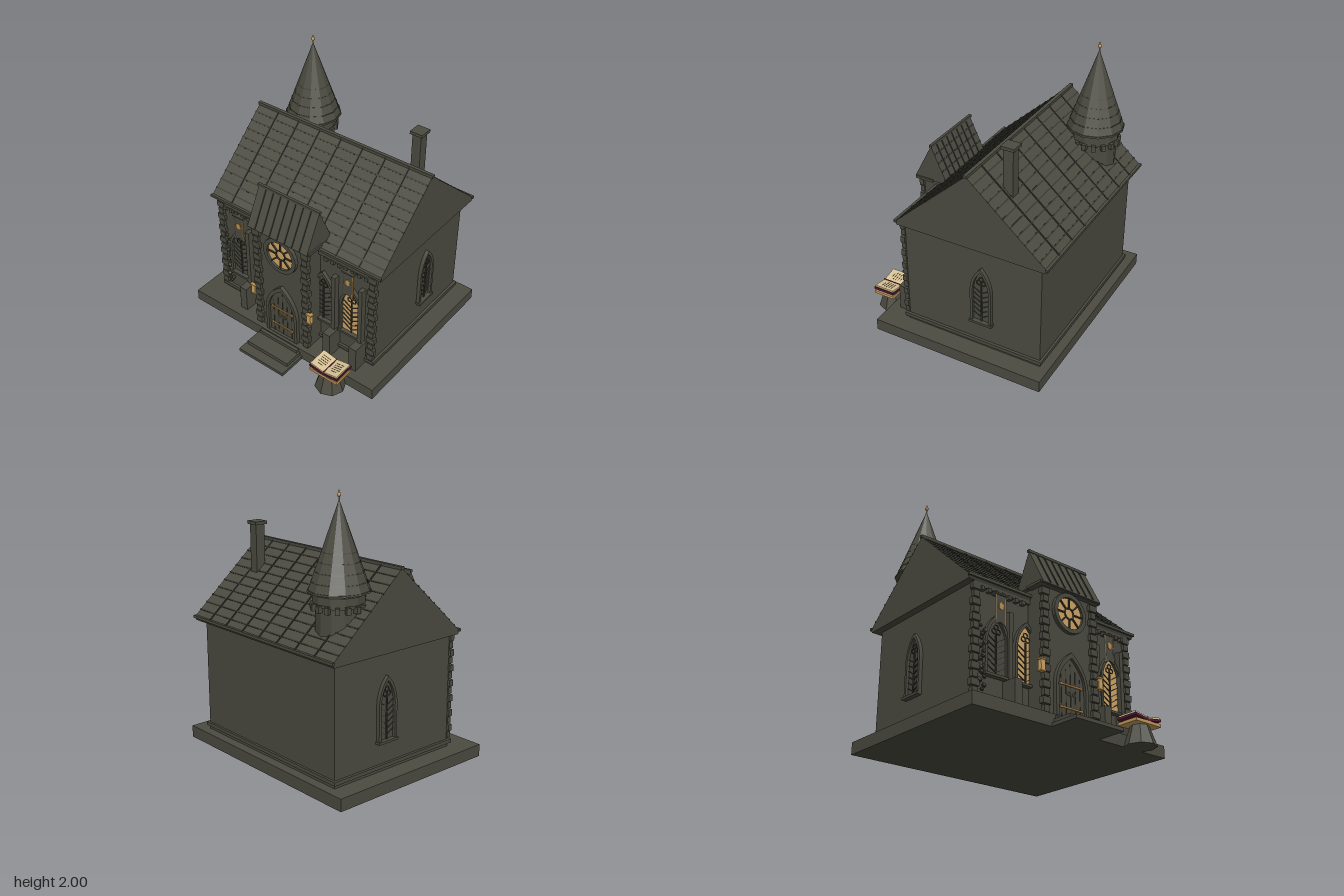
import * as THREE from 'three';

const mat = (name, color) => {
  const m = new THREE.MeshStandardMaterial({ color });
  m.name = name;
  return m;
};

export function createModel() {
  const stone = mat('stone', 0x4b4b41), lead = mat('dark lead', 0x383831), gold = mat('brass', 0xc0904c),
    glow = mat('lit glass', 0xd2a766), page = mat('paper', 0xdcc698), cover = mat('maroon leather', 0x551c33),
    wood = mat('light wood', 0xc79c5e), ink = mat('ink', 0x5a4a38);
  const model = new THREE.Group();
  model.name = 'chapel';

  const group = (name, parent = model) => {
    const g = new THREE.Group();
    g.name = name;
    parent.add(g);
    return g;
  };
  const add = (name, geo, m, x = 0, y = 0, z = 0, parent = model) => {
    const mesh = new THREE.Mesh(geo, m);
    mesh.name = name;
    mesh.position.set(x, y, z);
    parent.add(mesh);
    return mesh;
  };
  const box = (name, m, w, h, d, x, y, z, parent) => add(name, new THREE.BoxGeometry(w, h, d), m, x, y, z, parent);
  // box given by its limits
  const span = (name, m, x0, x1, y0, y1, z0, z1, parent) =>
    box(name, m, x1 - x0, y1 - y0, z1 - z0, (x0 + x1) / 2, (y0 + y1) / 2, (z0 + z1) / 2, parent);
  // faceted round part
  const cyl = (rt, rb, h, n) => {
    const g = new THREE.CylinderGeometry(rt, rb, h, n).toNonIndexed();
    g.computeVertexNormals();
    return g;
  };
  const extrude = (shape, depth) => new THREE.ExtrudeGeometry(shape, { depth, bevelEnabled: false, curveSegments: 10 });
  // (z, y) profile swept along x
  const prism = (name, m, pts, halfW, parent) => {
    const g = extrude(new THREE.Shape(pts.map(([z, y]) => new THREE.Vector2(-z, y))), halfW * 2);
    return add(name, g.rotateY(Math.PI / 2), m, -halfW, 0, 0, parent);
  };
  // pointed arch outline
  const arch = (w, h, spring, y0 = 0) => {
    const s = new THREE.Shape();
    s.moveTo(-w, y0);
    s.lineTo(w, y0);
    s.lineTo(w, spring);
    s.quadraticCurveTo(w * 0.92, spring + (h - spring) * 0.6, 0, h);
    s.quadraticCurveTo(-w * 0.92, spring + (h - spring) * 0.6, -w, spring);
    return s;
  };
  // seams of the tiles on a roof slope running from eave to ridge, points as [z, y]
  const seams = (parent, eave, ridge, halfW, rows, xs) => {
    const dz = ridge[0] - eave[0], dy = ridge[1] - eave[1], tilt = Math.atan2(-dy, dz);
    for (let i = 1; i < rows; i++) {
      const t = i / rows;
      box('tileCourse', lead, halfW * 2, 0.008, 0.01, 0, eave[1] + dy * t, eave[0] + dz * t, parent).rotation.x = tilt;
    }
    for (const x of xs)
      box('tileSeam', lead, 0.009, 0.012, Math.hypot(dz, dy), x, eave[1] + dy / 2, eave[0] + dz / 2, parent).rotation.x = tilt;
  };

  // base and steps
  span('base', stone, -0.85, 0.85, 0, 0.09, -0.785, 0.56);
  [[0.21, 0.025, 0.785], [0.192, 0.055, 0.71], [0.178, 0.08, 0.585]].forEach(([w, h, z]) =>
    span('step', stone, -w, w, 0, h, 0.5, z));

  // hall walls
  span('walls', stone, -0.71, 0.71, 0.09, 0.945, -0.715, 0.365);
  span('plinth', stone, -0.73, 0.73, 0.118, 0.145, -0.732, 0.385);
  span('cornice', stone, -0.715, 0.715, 0.91, 0.94, 0.36, 0.385);
  for (let x = 0.3; x < 0.66; x += 0.058)
    for (const s of [-1, 1]) box('dentil', stone, 0.028, 0.03, 0.03, s * x, 0.9, 0.38);

  // corner stones of hall and porch
  const quoins = (x, z, y0, n, step) => {
    const g = group('cornerStones');
    for (let i = 0; i < n; i++)
      for (const s of [-1, 1])
        box('cornerStone', stone, i % 2 ? 0.068 : 0.046, step * 0.84, 0.034, s * x, y0 + step * (i + 0.5), z, g);
  };
  quoins(0.695, 0.37, 0.15, 14, 0.056);
  quoins(0.222, 0.515, 0.1, 16, 0.056);

  // main roof
  const roof = group('mainRoof');
  const ridge = [-0.178, 1.49], front = [0.395, 0.965], back = [-0.778, 0.965];
  prism('roofBody', stone, [[0.385, 0.938], front, ridge, back, [-0.765, 0.938]], 0.765, roof);
  const cols = [-0.58, -0.385, -0.19, 0, 0.19, 0.385, 0.58];
  seams(roof, front, ridge, 0.767, 11, cols);
  seams(roof, back, ridge, 0.767, 11, cols);
  box('ridgeCap', stone, 1.545, 0.022, 0.026, 0, 1.49, -0.178, roof);
  for (const z of [0.395, -0.775]) box('eave', stone, 1.545, 0.02, 0.02, 0, 0.967, z, roof);

  // chimney
  const chimney = group('chimney');
  span('stack', stone, 0.485, 0.557, 1.1, 1.64, -0.411, -0.337, chimney);
  span('chimneyCap', stone, 0.471, 0.571, 1.637, 1.66, -0.425, -0.323, chimney);

  // round turret
  const turret = group('turret');
  turret.position.set(-0.515, 0, -0.5);
  add('turretWall', cyl(0.16, 0.16, 0.34, 12), stone, 0, 1.12, 0, turret);
  add('turretRing', cyl(0.178, 0.178, 0.055, 12), stone, 0, 1.308, 0, turret);
  add('turretBand', cyl(0.17, 0.17, 0.02, 12), stone, 0, 1.27, 0, turret);
  for (let i = 0; i < 16; i++) {
    const a = (i / 16) * Math.PI * 2;
    box('corbel', stone, 0.03, 0.045, 0.035, Math.sin(a) * 0.173, 1.252, Math.cos(a) * 0.173, turret).rotation.y = a;
  }
  add('spire', cyl(0.005, 0.21, 0.58, 12), stone, 0, 1.64, 0, turret);
  add('spireEave', cyl(0.212, 0.214, 0.012, 12), stone, 0, 1.356, 0, turret);
  for (let i = 1; i < 7; i++) {
    const y = 1.35 + i * 0.065, r = 0.212 * (1 - i * 0.065 / 0.58);
    add('spireCourse', cyl(r, r + 0.003, 0.007, 12), lead, 0, y, 0, turret);
  }
  add('finialRod', cyl(0.003, 0.006, 0.09, 8), gold, 0, 1.955, 0, turret);
  add('finialBall', new THREE.SphereGeometry(0.014, 12, 8), gold, 0, 1.97, 0, turret);

  // entrance porch
  const porch = group('porch');
  span('porchWall', stone, -0.235, 0.235, 0.09, 1.03, 0.3, 0.508, porch);
  span('porchCornice', stone, -0.28, 0.28, 1.01, 1.03, 0.4, 0.545, porch);
  const pf = [0.555, 1.025], pr = [0.414, 1.3], pb = [0.297, 1.05];
  prism('porchRoof', stone, [pf, pr, pb, [0.297, 1.02], [0.555, 1.015]], 0.268, porch);
  const pcols = [-0.2, -0.133, -0.067, 0, 0.067, 0.133, 0.2];
  seams(porch, pf, pr, 0.268, 1, pcols);
  seams(porch, pb, pr, 0.268, 4, pcols);
  box('porchRidge', stone, 0.55, 0.02, 0.02, 0, 1.302, 0.414, porch);

  // rose window
  const rose = group('roseWindow');
  rose.position.set(0, 0.863, 0.508);
  add('roseGlass', new THREE.CylinderGeometry(0.125, 0.125, 0.008, 32).rotateX(Math.PI / 2), glow, 0, 0, 0.006, rose);
  const rim = new THREE.Shape().absarc(0, 0, 0.148, 0, Math.PI * 2);
  rim.holes.push(new THREE.Path().absarc(0, 0, 0.116, 0, Math.PI * 2));
  add('roseRim', extrude(rim, 0.028), stone, 0, 0, 0, rose);
  add('roseHub', new THREE.TorusGeometry(0.04, 0.006, 6, 24), lead, 0, 0, 0.014, rose);
  for (let i = 0; i < 8; i++) {
    const a = (i / 8) * Math.PI * 2;
    box('spoke', lead, 0.08, 0.01, 0.012, Math.cos(a) * 0.08, Math.sin(a) * 0.08, 0.014, rose).rotation.z = a;
  }

  // arched frame with an opening
  const frame = (w, h, spring, t, depth) => {
    const s = arch(w, h, spring);
    s.holes.push(arch(w - t, h - t * 1.6, spring, 0.004));
    return extrude(s, depth);
  };

  // door
  const door = group('door');
  door.position.set(0, 0.09, 0.508);
  add('doorFrame', frame(0.145, 0.48, 0.24, 0.025, 0.03), stone, 0, 0, 0, door);
  add('doorLeaf', extrude(arch(0.122, 0.44, 0.24), 0.01), stone, 0, 0, 0, door);
  for (let i = -2; i <= 2; i++) {
    const h = 0.4 - Math.abs(i) * 0.045;
    box('plankGap', lead, 0.005, h, 0.006, i * 0.042, h / 2, 0.01, door);
  }
  for (const y of [0.085, 0.245]) {
    box('hingeStrap', gold, 0.19, 0.011, 0.008, 0, y, 0.016, door);
    for (const x of [-0.094, 0.094]) box('strapEnd', gold, 0.014, 0.018, 0.009, x, y, 0.016, door);
  }
  for (const x of [-0.024, 0.024]) add('ringHandle', new THREE.TorusGeometry(0.013, 0.003, 6, 14), gold, x, 0.185, 0.018, door);

  // lancet windows
  const lancet = (x, y, z, w, h, glass, turn = 0) => {
    const g = group('lancetWindow'), sp = h * 0.58;
    g.position.set(x, y, z);
    g.rotation.y = turn;
    add('windowFrame', frame(w, h, sp, 0.02, 0.028), stone, 0, 0, 0, g);
    add('windowGlass', extrude(arch(w - 0.018, h - 0.03, sp), 0.007), glass, 0, 0, 0, g);
    box('sill', stone, w * 2 + 0.012, 0.018, 0.042, 0, 0.005, 0.018, g);
    box('mullion', lead, 0.009, h * 0.68, 0.012, 0, h * 0.34, 0.01, g);
    for (let i = 0; i < 6; i++)
      for (const s of [-1, 1])
        box('leadBar', lead, w * 0.85, 0.006, 0.008, s * w * 0.4, 0.06 + i * 0.042, 0.009, g).rotation.z = s * 0.55;
    for (const [tx, ty] of [[-0.018, 0], [0.018, 0], [0, 0.03]])
      add('trefoil', new THREE.TorusGeometry(0.017, 0.004, 6, 16), lead, tx, h * 0.73 + ty, 0.012, g);
  };
  lancet(-0.522, 0.305, 0.365, 0.1, 0.44, stone);
  lancet(-0.27, 0.305, 0.365, 0.1, 0.46, glow);
  lancet(0.27, 0.305, 0.365, 0.1, 0.46, stone);
  lancet(0.522, 0.305, 0.365, 0.1, 0.44, glow);
  lancet(0.71, 0.305, -0.26, 0.083, 0.465, stone, Math.PI / 2);
  lancet(-0.71, 0.305, -0.26, 0.083, 0.465, stone, -Math.PI / 2);

  // buttresses
  for (const x of [-0.422, 0.38, 0.615]) {
    const g = group('buttress');
    span('buttressFoot', stone, x - 0.032, x + 0.032, 0.09, 0.295, 0.36, 0.487, g);
    span('buttressShaft', stone, x - 0.017, x + 0.017, 0.29, 0.785, 0.36, 0.41, g);
  }

  // banners and lanterns
  for (const s of [-1, 1]) {
    const b = group('banner');
    b.position.set(s * 0.505, 0, 0.398);
    const cloth = new THREE.Shape([[-0.04, 0.89], [-0.04, 0.67], [0, 0.69], [0.04, 0.67], [0.04, 0.89]].map(p => new THREE.Vector2(...p)));
    add('bannerCloth', extrude(cloth, 0.006), stone, 0, 0, 0, b);
    box('bannerTrim', page, 0.004, 0.21, 0.009, -0.04, 0.78, 0.004, b);
    box('bannerTrim', gold, 0.006, 0.21, 0.009, 0.04, 0.78, 0.004, b);
    add('bannerEmblem', cyl(0.022, 0.022, 0.008, 6).rotateX(Math.PI / 2), gold, 0, 0.805, 0.006, b).scale.y = 1.25;
    box('bannerRod', stone, 0.1, 0.012, 0.05, 0, 0.89, -0.01, b);

    const l = group('lantern');
    l.position.set(s * 0.262, 0, 0.528);
    box('lanternBracket', stone, 0.05, 0.012, 0.02, -s * 0.02, 0.475, -0.008, l);
    box('lanternGlass', glow, 0.036, 0.07, 0.03, 0, 0.415, 0, l);
    box('lanternFoot', gold, 0.046, 0.01, 0.036, 0, 0.376, 0, l);
    box('lanternCap', gold, 0.05, 0.012, 0.038, 0, 0.455, 0, l);
  }

  // ivy beside the left corner
  for (let i = 0; i < 16; i++)
    add('ivyLeaf', new THREE.IcosahedronGeometry(0.014 + (i % 3) * 0.003, 0), stone,
      -0.635 + Math.sin(i * 2.4) * 0.022, 0.2 + i * 0.029, 0.38);

  // book on a pedestal
  const stand = group('bookStand');
  stand.position.set(0.53, 0, 0.63);
  add('pedestal', cyl(0.066, 0.115, 0.146, 8), stone, 0, 0.073, 0, stand);
  span('tray', wood, -0.122, 0.122, 0.143, 0.165, -0.082, 0.085, stand);
  const vee = (name, m, w, end, mid, t, d) => {
    const p = [[-w, end], [0, mid], [w, end], [w, end + t], [0, mid + t], [-w, end + t]];
    add(name, extrude(new THREE.Shape(p.map(q => new THREE.Vector2(...q))), d), m, 0, 0, -d / 2, stand);
  };
  vee('bookCover', cover, 0.124, 0.182, 0.163, 0.018, 0.17);
  vee('bookPages', page, 0.117, 0.2, 0.178, 0.014, 0.156);
  box('bookmark', cover, 0.008, 0.006, 0.162, 0, 0.193, 0, stand);
  for (const s of [-1, 1])
    for (let i = 0; i < 5; i++)
      box('textLine', ink, i === 4 ? 0.045 : 0.066, 0.003, 0.004, s * 0.06, 0.2035, -0.042 + i * 0.02, stand).rotation.z = s * 0.186;

  return model;
}
